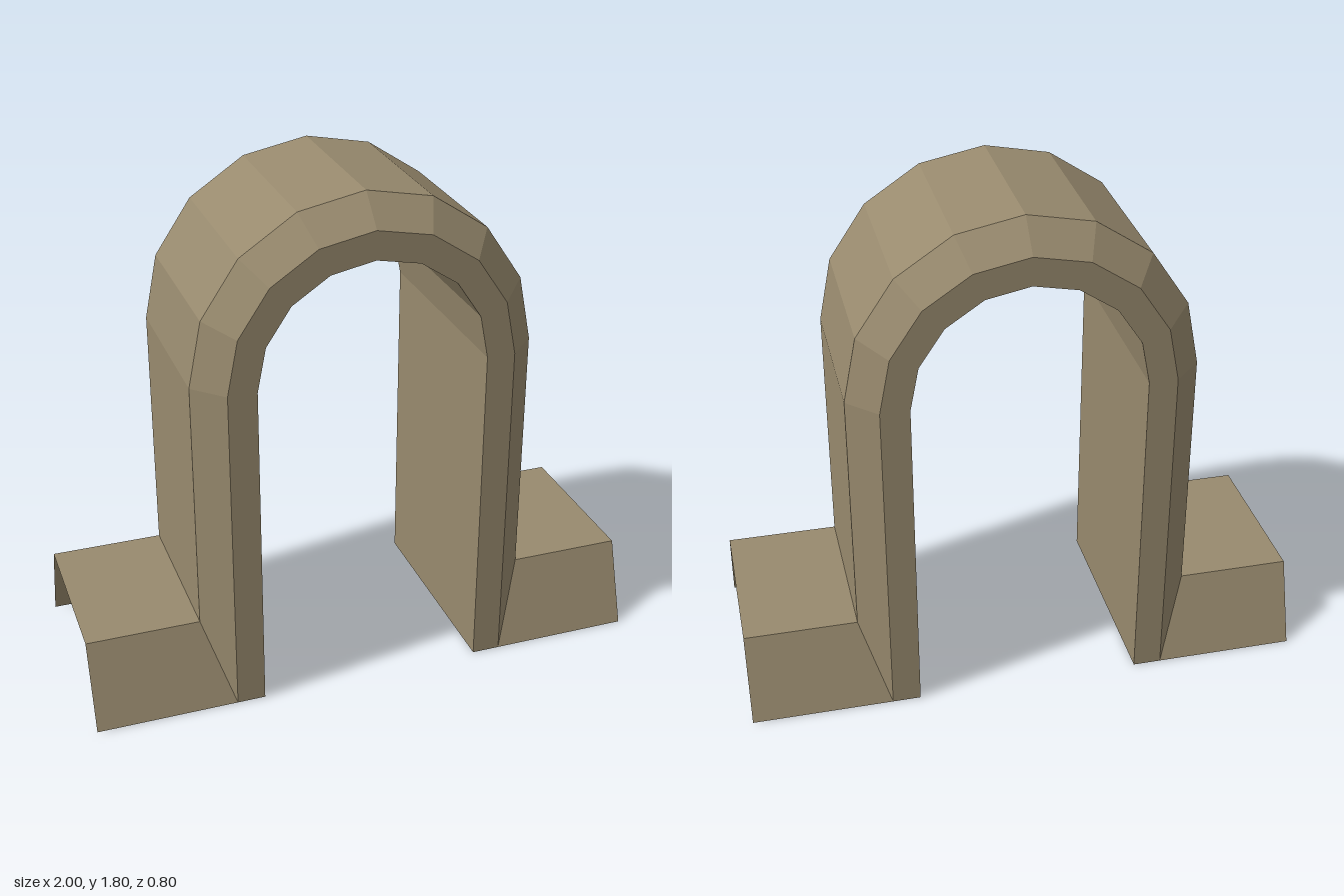
import * as THREE from 'three';

const stone = new THREE.MeshStandardMaterial({ color: 0x988a6e, flatShading: true, side: THREE.DoubleSide });
stone.name = 'tan stone';

// Sheet of quads between two rows of points
function strip(name, a, b) {
  const pos = [];
  for (let i = 0; i < a.length - 1; i++) {
    for (const p of [a[i], a[i + 1], b[i + 1], a[i], b[i + 1], b[i]]) pos.push(...p);
  }
  const geo = new THREE.BufferGeometry();
  geo.setAttribute('position', new THREE.Float32BufferAttribute(pos, 3));
  geo.computeVertexNormals();
  const mesh = new THREE.Mesh(geo, stone);
  mesh.name = name;
  return mesh;
}

// Upright, half circle in eight steps, upright
function archLine([r, z, base]) {
  const pts = [[r, base, z]];
  for (let i = 0; i <= 8; i++) {
    const t = (i / 8) * Math.PI;
    pts.push([r * Math.cos(t), 1.2 + r * Math.sin(t), z]);
  }
  pts.push([-r, base, z]);
  return pts;
}

export function createModel() {
  const model = new THREE.Group();
  model.name = 'archway';

  // Arch shell, open underneath: radius, z and base height of each edge
  const edges = [
    [0.6, -0.3, 0.3], [0.6, 0.3, 0.3], [0.5, 0.4, 0],
    [0.4, 0.4, 0], [0.4, -0.4, 0], [0.5, -0.4, 0],
  ];
  const names = ['outerWall', 'frontBevel', 'frontRim', 'innerWall', 'backRim', 'backBevel'];
  names.forEach((name, i) => {
    model.add(strip(name, archLine(edges[i]), archLine(edges[(i + 1) % edges.length])));
  });

  // Low side walls with sloped faces, open at the end and underneath
  const joint = [[0.5, 0, 0.4], [0.6, 0.3, 0.3], [0.6, 0.3, -0.3], [0.5, 0, -0.4]];
  const end = joint.map(([, y, z]) => [1, y, z]);
  for (const side of ['left', 'right']) {
    const wall = strip(side + 'SideWall', end, joint);
    if (side === 'right') wall.rotation.y = Math.PI;
    model.add(wall);
  }
  return model;
}
